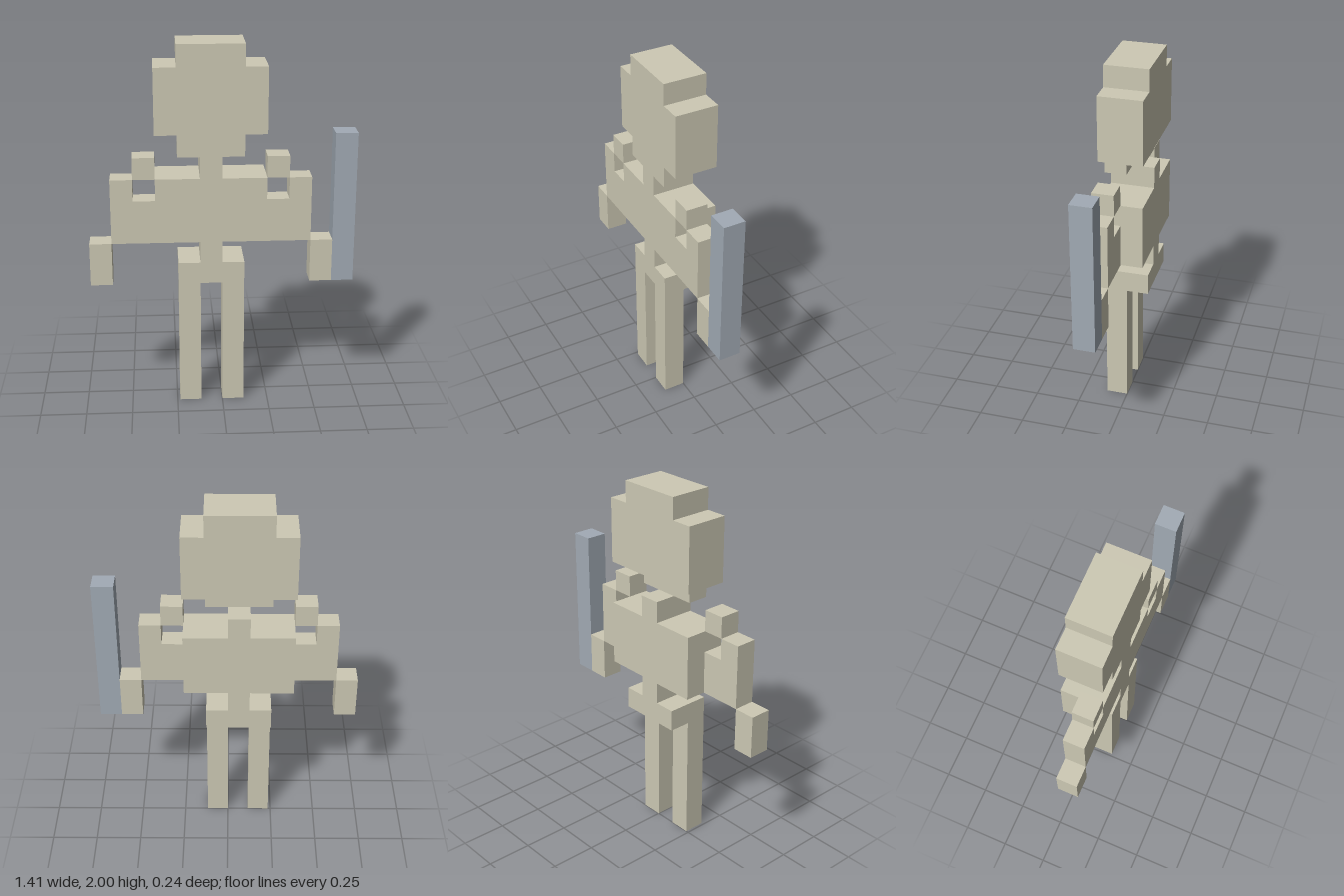
import * as THREE from 'three';

// One voxel: the figure is 17 voxels tall, 12 wide and 2 deep
const U = 2 / 17;
const skin = new THREE.MeshStandardMaterial({ color: 0xcdc9b4, flatShading: true });
const steel = new THREE.MeshStandardMaterial({ color: 0xa2abb5, flatShading: true });

// Extrudes an outline given in voxel units, from z0 to z1
function slab(name, outline, z0, z1, material = skin) {
  const shape = new THREE.Shape(outline.map(([x, y]) => new THREE.Vector2(x * U, y * U)));
  const geometry = new THREE.ExtrudeGeometry(shape, { depth: (z1 - z0) * U, bevelEnabled: false });
  geometry.translate(0, 0, z0 * U);
  const mesh = new THREE.Mesh(geometry, material);
  mesh.name = name;
  return mesh;
}

// Box between two corners given in voxel units
function block(name, x0, x1, y0, y1, z0, z1, material = skin) {
  const geometry = new THREE.BoxGeometry((x1 - x0) * U, (y1 - y0) * U, (z1 - z0) * U);
  geometry.translate((x0 + x1) / 2 * U, (y0 + y1) / 2 * U, (z0 + z1) / 2 * U);
  const mesh = new THREE.Mesh(geometry, material);
  mesh.name = name;
  return mesh;
}

export function createModel() {
  const model = new THREE.Group();
  model.name = 'figure';

  // The body is symmetric about a line half a voxel to the right of centre
  const mid = -0.5;

  // Head with stepped crown, and a thinner jaw
  const head = [[-2.5, 13], [2.5, 13], [2.5, 16], [1.5, 16], [1.5, 17], [-1.5, 17], [-1.5, 16], [-2.5, 16]];
  model.add(slab('head', head.map(([x, y]) => [x + mid, y]), -1, 1));
  model.add(block('jaw', -2, 1, 12, 13, 0, 1));

  // Neck, chest, waist and hips
  model.add(block('neck', -1, 0, 11, 12, -1, 1));
  model.add(block('chest', -3, 2, 8, 11, -1, 1));
  model.add(block('waist', -1, 0, 7, 8, -1, 1));
  model.add(block('hips', -2, 1, 6, 7, -1, 1));

  for (const [side, s] of [['left', 1], ['right', -1]]) {
    // Mirrored span along x, ordered low to high
    const span = (a, b) => [mid + s * a, mid + s * b].sort((p, q) => p - q);
    const arm = [[2.5, 8], [4.5, 8], [4.5, 11], [3.5, 11], [3.5, 10], [2.5, 10]];
    model.add(slab(side + 'UpperArm', arm.map(([x, y]) => [mid + s * x, y]), 0, 1));
    model.add(block(side + 'ShoulderPad', ...span(2.5, 3.5), 11, 12, 0, 1));
    model.add(block(side + 'Forearm', ...span(4.5, 5.5), 6, 8, 0, 1));
    model.add(block(side + 'Leg', ...span(0.5, 1.5), 0, 6, 0, 1));
  }

  // Upright blade held at the left hand
  model.add(block('blade', 5, 6, 6, 13, 0, 1, steel));
  return model;
}
